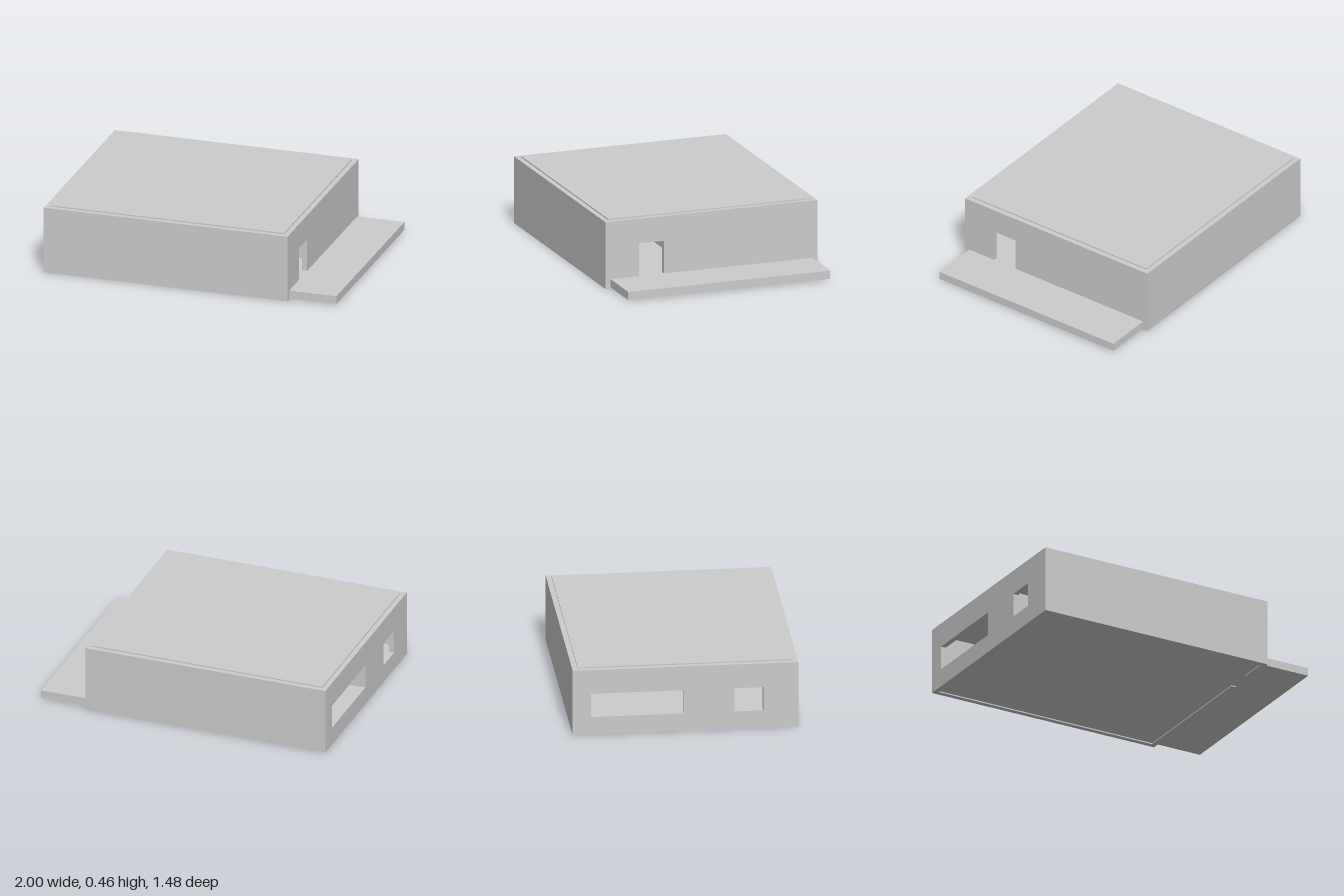
import * as THREE from 'three';

const material = new THREE.MeshStandardMaterial({ color: 0xcccccc, flatShading: true });

const LEFT = -1, RIGHT = 0.675;   // outer faces of the house in x
const DEPTH = 0.74;               // outer half depth in z
const HEIGHT = 0.452;
const WALL = 0.035;               // wall thickness

export function createModel() {
  const model = new THREE.Group();

  const add = (name, geometry) => {
    const mesh = new THREE.Mesh(geometry, material);
    mesh.name = name;
    model.add(mesh);
  };

  // Box given by its limits on each axis
  const box = (name, [x0, x1], [y0, y1], [z0, z1]) => {
    const geometry = new THREE.BoxGeometry(x1 - x0, y1 - y0, z1 - z0);
    geometry.translate((x0 + x1) / 2, (y0 + y1) / 2, (z0 + z1) / 2);
    add(name, geometry);
  };

  const points = (list) => list.map(([z, y]) => new THREE.Vector2(z, y));

  // Upright wall drawn in (z, y), with its +x face at outerX
  const sideWall = (name, outline, windows, outerX) => {
    const shape = new THREE.Shape(points(outline));
    for (const [z0, z1, y0, y1] of windows) {
      shape.holes.push(new THREE.Path(points([[z0, y0], [z0, y1], [z1, y1], [z1, y0]])));
    }
    const geometry = new THREE.ExtrudeGeometry(shape, { depth: WALL, bevelEnabled: false });
    geometry.rotateY(-Math.PI / 2);
    geometry.translate(outerX, 0, 0);
    add(name, geometry);
  };

  // Closed front and back walls
  const inner = DEPTH - WALL;
  box('frontWall', [LEFT, RIGHT], [0, HEIGHT], [inner, DEPTH]);
  box('backWall', [LEFT, RIGHT], [0, HEIGHT], [-DEPTH, -inner]);

  // Wall with a wide and a small window
  sideWall('windowWall',
    [[-inner, 0], [inner, 0], [inner, HEIGHT], [-inner, HEIGHT]],
    [[-0.62, -0.01, 0.122, 0.285], [0.32, 0.51, 0.122, 0.285]],
    LEFT + WALL);

  // Wall with the doorway open down to the ground
  sideWall('doorWall',
    [[-inner, 0], [0.33, 0], [0.33, 0.285], [0.505, 0.285], [0.505, 0],
      [inner, 0], [inner, HEIGHT], [-inner, HEIGHT]],
    [], RIGHT);

  // Partition between the two rooms
  box('partition', [LEFT + WALL, RIGHT - WALL], [0.06, 0.41], [0.09, 0.125]);

  // Floor slab runs out through the door wall as a terrace
  box('floorAndTerrace', [LEFT + WALL, 1], [0.008, 0.063], [-inner, inner]);

  // Roof slab set between the walls, standing slightly proud
  box('roof', [LEFT + WALL, RIGHT - WALL], [0.405, 0.46], [-inner, inner]);

  return model;
}
